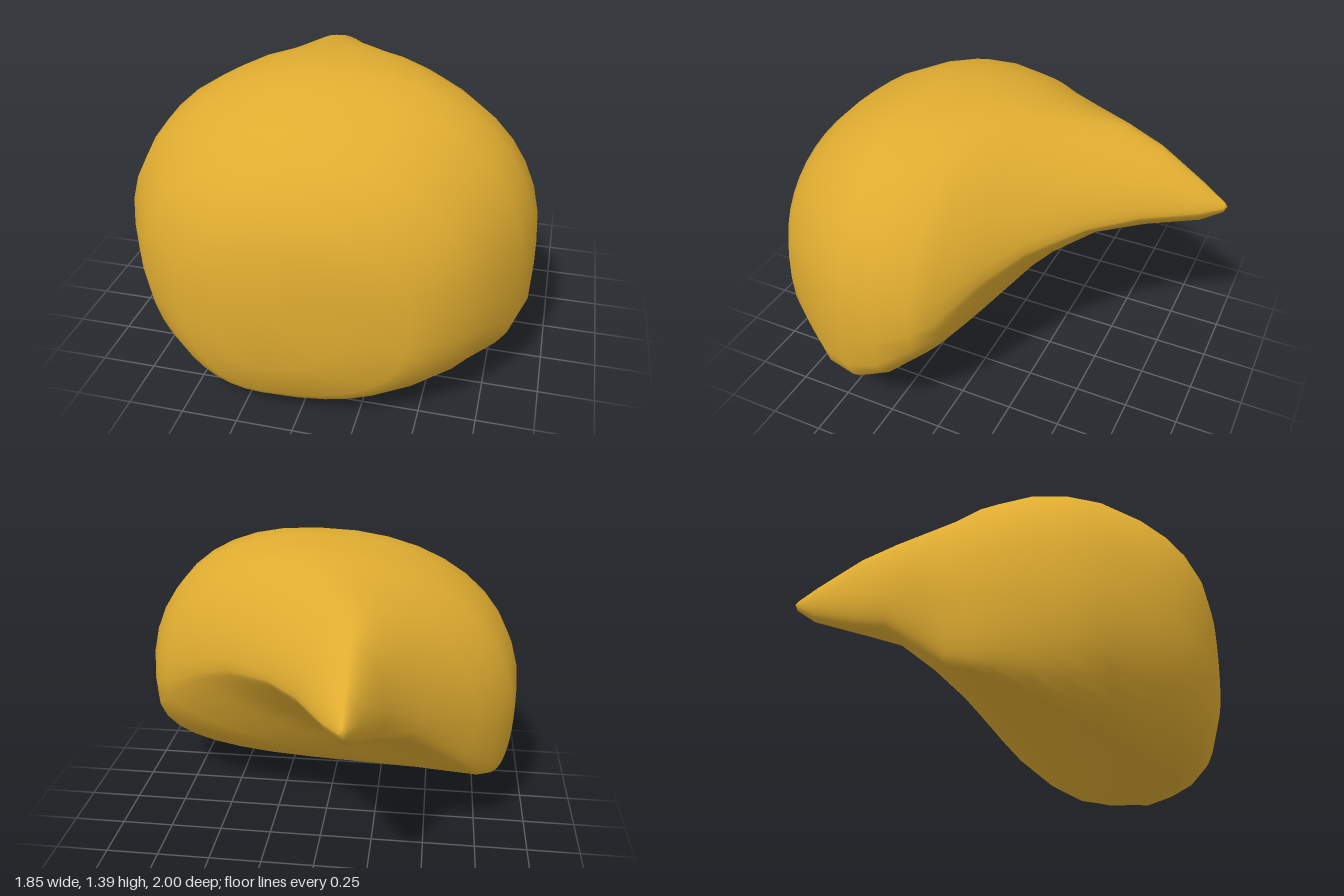
import * as THREE from 'three';

const { clamp, smoothstep } = THREE.MathUtils;
const SEGMENTS = 40;

// Cross-sections from the tail to the front:
// z, left x, right x, bottom y, top y, keel x, widest y on the left, widest y on the right
const SECTIONS = [
  [-0.985, -0.2, -0.165, 0.93, 0.98, -0.18, 0.955, 0.955],
  [-0.89, -0.24, -0.09, 0.86, 1.05, -0.19, 0.94, 0.95],
  [-0.67, -0.33, 0.05, 0.77, 1.19, -0.26, 0.9, 0.95],
  [-0.48, -0.47, 0.2, 0.69, 1.255, -0.4, 0.83, 0.93],
  [-0.28, -0.71, 0.42, 0.475, 1.31, -0.62, 0.72, 0.88],
  [-0.15, -0.815, 0.6, 0.34, 1.34, -0.74, 0.66, 0.8],
  [-0.03, -0.885, 0.79, 0.285, 1.37, -0.8, 0.64, 0.68],
  [0.05, -0.91, 0.86, 0.245, 1.375, -0.81, 0.63, 0.64],
  [0.2, -0.925, 0.92, 0.175, 1.39, -0.75, 0.63, 0.6],
  [0.35, -0.915, 0.92, 0.105, 1.385, -0.62, 0.62, 0.58],
  [0.5, -0.89, 0.875, 0.055, 1.34, -0.47, 0.61, 0.58],
  [0.67, -0.79, 0.77, 0, 1.26, -0.2, 0.6, 0.58],
  [0.78, -0.71, 0.69, 0.02, 1.175, -0.18, 0.59, 0.58],
  [0.86, -0.61, 0.59, 0.055, 1.1, -0.18, 0.58, 0.58],
  [0.93, -0.5, 0.48, 0.13, 0.98, -0.17, 0.57, 0.57],
  [0.975, -0.34, 0.2, 0.29, 0.85, -0.16, 0.57, 0.57],
];

// Ring of four separately rounded quarters: the crest leans right,
// the keel runs along the left, and the underside slants between keel and right flank
function ring([z, left, right, bottom, top, keel, middleLeft, middleRight]) {
  const crest = clamp(0.08 - 0.4 * (z - 0.35) ** 2, -0.18, 0.08);
  const upperLeft = 1.75 + 0.45 * smoothstep(z, -0.4, 0.3);
  const upperRight = 1.65 + 0.7 * smoothstep(z, -0.3, 0.35);
  const lowerRight = 1.4 + 2.6 * smoothstep(z, -0.2, 0.35) - 1.6 * smoothstep(z, 0.4, 0.75);
  const lowerLeft = 2.2;
  const points = [];
  for (let i = 0; i < SEGMENTS; i++) {
    const a = (i / SEGMENTS) * Math.PI * 2;
    const c = Math.cos(a), s = Math.sin(a);
    const onRight = c >= 0, above = s >= 0;
    const roundness = above ? (onRight ? upperRight : upperLeft) : (onRight ? lowerRight : lowerLeft);
    const power = 2 / roundness;
    const centre = above ? crest : keel;
    const middle = onRight ? middleRight : middleLeft;
    const x = centre + ((onRight ? right : left) - centre) * Math.abs(c) ** power;
    const y = middle + ((above ? top : bottom) - middle) * Math.abs(s) ** power;
    points.push(x, y, z);
  }
  return points;
}

// Smooth skin over the rings, closed by a point at each end
function skin(sections, tip, nose) {
  const positions = sections.flatMap(ring);
  const tipIndex = positions.length / 3, noseIndex = tipIndex + 1;
  positions.push(...tip, ...nose);
  const index = [];
  const last = (sections.length - 1) * SEGMENTS;
  for (let i = 0; i < SEGMENTS; i++) {
    const j = (i + 1) % SEGMENTS;
    index.push(tipIndex, j, i);
    for (let r = 0; r < last; r += SEGMENTS) {
      const n = r + SEGMENTS;
      index.push(r + i, r + j, n + j, r + i, n + j, n + i);
    }
    index.push(noseIndex, last + i, last + j);
  }
  const geometry = new THREE.BufferGeometry();
  geometry.setAttribute('position', new THREE.Float32BufferAttribute(positions, 3));
  geometry.setIndex(index);
  geometry.computeVertexNormals();
  return geometry;
}

export function createModel() {
  const group = new THREE.Group();
  group.name = 'taperedBlob';
  const ochre = new THREE.MeshStandardMaterial({ color: 0xdfac30 });
  ochre.name = 'ochre';

  // Rounded body drawn out into a pointed tail
  const body = new THREE.Mesh(skin(SECTIONS, [-0.18, 0.965, -1], [-0.16, 0.57, 1]), ochre);
  body.name = 'bodyWithTail';
  group.add(body);
  return group;
}
